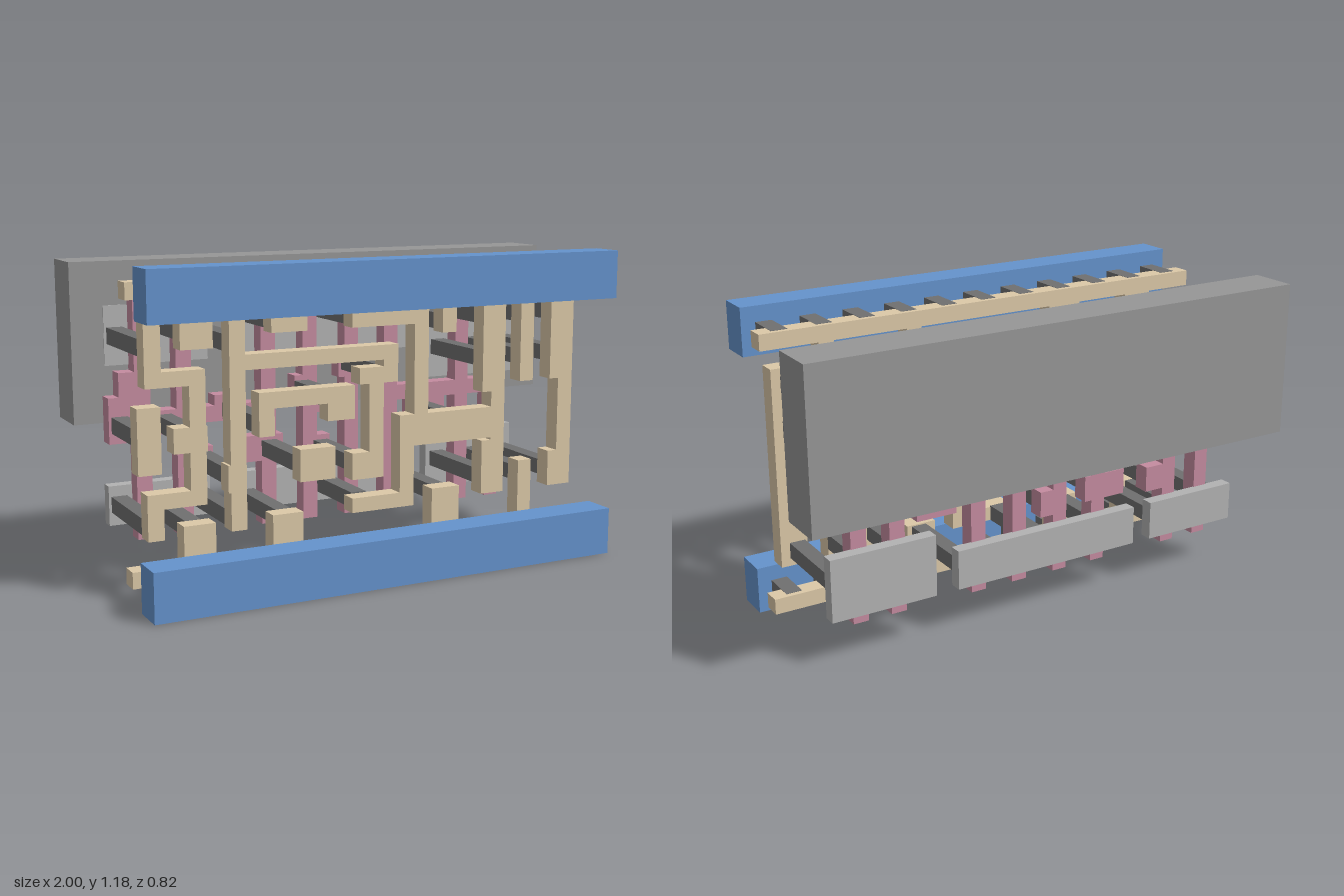
import * as THREE from 'three';

const material = (color) => new THREE.MeshStandardMaterial({ color });

// Adds one block given as [x0, x1, y0, y1] between two depths.
function block(group, name, [x0, x1, y0, y1], z0, z1, mat) {
  const mesh = new THREE.Mesh(new THREE.BoxGeometry(x1 - x0, y1 - y0, z1 - z0), mat);
  mesh.position.set((x0 + x1) / 2, (y0 + y1) / 2, (z0 + z1) / 2);
  mesh.name = name;
  group.add(mesh);
}

// Square peg outline around a centre
const peg = (x, y, r = 0.03) => [x - r, x + r, y - r, y + r];

export function createModel() {
  const root = new THREE.Group();
  root.name = 'layeredCircuitCell';
  const blue = material(0x6593cc), tan = material(0xdcc9a8), pink = material(0xc58ca0);
  const dark = material(0x707070), mid = material(0x969696), light = material(0xb2b2b2);

  const layer = (name) => {
    const g = new THREE.Group();
    g.name = name;
    root.add(g);
    return g;
  };

  // Thick back plate
  block(root, 'backPlate', [-1, 1, 0.57, 1.16], -0.41, -0.225, mid);

  // Thin base pads: upper row sunk in the plate, lower row free
  const pads = layer('basePads');
  for (const r of [
    [-0.88, -0.48, 0.78, 1.0], [-0.4, 0.38, 0.77, 1.0], [0.47, 0.88, 0.64, 1.0],
    [-0.88, -0.48, 0.18, 0.33], [-0.4, 0.38, 0.18, 0.33], [0.47, 0.88, 0.18, 0.415],
  ]) block(pads, 'basePad', r, -0.27, -0.221, light);

  // Pink gate bars and their side tabs
  const gates = layer('gateBars');
  for (const x of [-0.76, -0.6, -0.26, -0.085, 0.095, 0.27, 0.6, 0.75])
    block(gates, 'gateBar', [x - 0.03, x + 0.03, 0.13, 1.05], -0.225, -0.16, pink);
  for (const r of [
    [-0.89, -0.73, 0.5, 0.67], [-0.85, -0.73, 0.67, 0.76],
    [-0.73, -0.57, 0.52, 0.61], [-0.63, -0.49, 0.36, 0.46],
    [-0.53, -0.23, 0.55, 0.61], [-0.48, -0.36, 0.55, 0.65],
    [-0.38, -0.2, 0.38, 0.48], [-0.15, -0.055, 0.58, 0.7],
    [-0.115, 0, 0.36, 0.46], [-0.085, 0.095, 0.55, 0.61],
    [0.04, 0.14, 0.68, 0.78], [0.27, 0.78, 0.57, 0.63], [0.36, 0.52, 0.46, 0.6],
  ]) block(gates, 'gateTab', r, -0.225, -0.16, pink);

  // Tan wiring, one group for each connected trace
  const traces = {
    leftTrace: [
      [-0.87, -0.81, 0.76, 0.99], [-0.87, -0.65, 0.755, 0.81], [-0.71, -0.65, 0.33, 0.81],
      [-0.77, -0.645, 0.52, 0.61], [-0.87, -0.65, 0.33, 0.385], [-0.87, -0.81, 0.22, 0.385],
    ],
    leftTab: [[-0.9, -0.815, 0.455, 0.69]],
    longTrace: [
      [-0.56, -0.5, 0.22, 0.99], [-0.57, -0.5, 0.36, 0.46], [-0.56, 0.11, 0.795, 0.85],
      [0.05, 0.11, 0.71, 0.85], [-0.05, 0.11, 0.71, 0.77], [-0.01, 0.05, 0.355, 0.77],
      [-0.08, 0.05, 0.355, 0.455],
    ],
    hookTrace: [
      [-0.45, -0.07, 0.65, 0.71], [-0.45, -0.39, 0.55, 0.71], [-0.18, -0.07, 0.585, 0.71],
    ],
    centreTab: [[-0.29, -0.15, 0.37, 0.49]],
    steppedTrace: [
      [-0.08, 0.24, 0.92, 0.98], [0.18, 0.24, 0.46, 0.98], [0.12, 0.18, 0.23, 0.58],
      [-0.08, 0.18, 0.23, 0.285], [0.18, 0.58, 0.46, 0.58], [0.48, 0.58, 0.64, 0.98],
      [0.52, 0.58, 0.25, 0.98], [0.48, 0.58, 0.24, 0.45],
    ],
    rightTrace: [
      [0.83, 0.895, 0.24, 0.99], [0.79, 0.895, 0.67, 0.99], [0.79, 0.895, 0.24, 0.38],
    ],
    upperRail: [
      [-0.93, 0.93, 1.06, 1.12], [-0.74, -0.62, 0.88, 1.06], [-0.4, -0.26, 0.92, 1.06],
      [0.3, 0.36, 0.88, 1.06], [0.65, 0.71, 0.67, 1.06],
    ],
    lowerRail: [
      [-0.93, 0.93, 0.06, 0.12], [-0.74, -0.62, 0.12, 0.26], [-0.4, -0.28, 0.12, 0.26],
      [0.26, 0.38, 0.12, 0.285], [0.65, 0.71, 0.12, 0.355],
    ],
  };
  for (const [name, rects] of Object.entries(traces)) {
    const g = layer(name);
    for (const r of rects) block(g, 'wire', r, 0.12, 0.19, tan);
  }

  // Long pegs from the wiring to the base pads
  const longPegs = layer('longPegs');
  for (const [x, y] of [
    [-0.84, 0.89], [-0.68, 0.93], [-0.53, 0.89], [-0.33, 0.95], [-0.02, 0.95], [0.33, 0.92],
    [-0.84, 0.26], [-0.68, 0.23], [-0.53, 0.26], [-0.33, 0.23], [-0.02, 0.26], [0.33, 0.25],
  ]) block(longPegs, 'longPeg', peg(x, y), -0.222, 0.121, dark);
  for (const x of [0.52, 0.68, 0.83])
    for (const y of [0.93, 0.765, 0.3])
      block(longPegs, 'longPeg', peg(x, y), -0.222, 0.121, dark);

  // Short pegs from the wiring to the gate tabs
  const shortPegs = layer('shortPegs');
  for (const [x, y] of [
    [-0.85, 0.57], [-0.68, 0.565], [-0.53, 0.41], [-0.42, 0.59], [-0.12, 0.65],
    [-0.26, 0.43], [0.08, 0.74], [-0.04, 0.41], [0.42, 0.52],
  ]) block(shortPegs, 'shortPeg', peg(x, y), -0.162, 0.121, dark);

  // Blue front beams with a row of pegs back to the tan rails
  for (const [name, y] of [['lowerBeam', 0], ['upperBeam', 1]]) {
    const g = layer(name);
    block(g, 'beam', [-0.93, 0.93, y, y + 0.18], 0.28, 0.41, blue);
    for (let i = -5; i <= 5; i++)
      block(g, 'beamPeg', peg(i * 0.169, y + 0.09, 0.031), 0.14, 0.281, dark);
  }

  return root;
}
